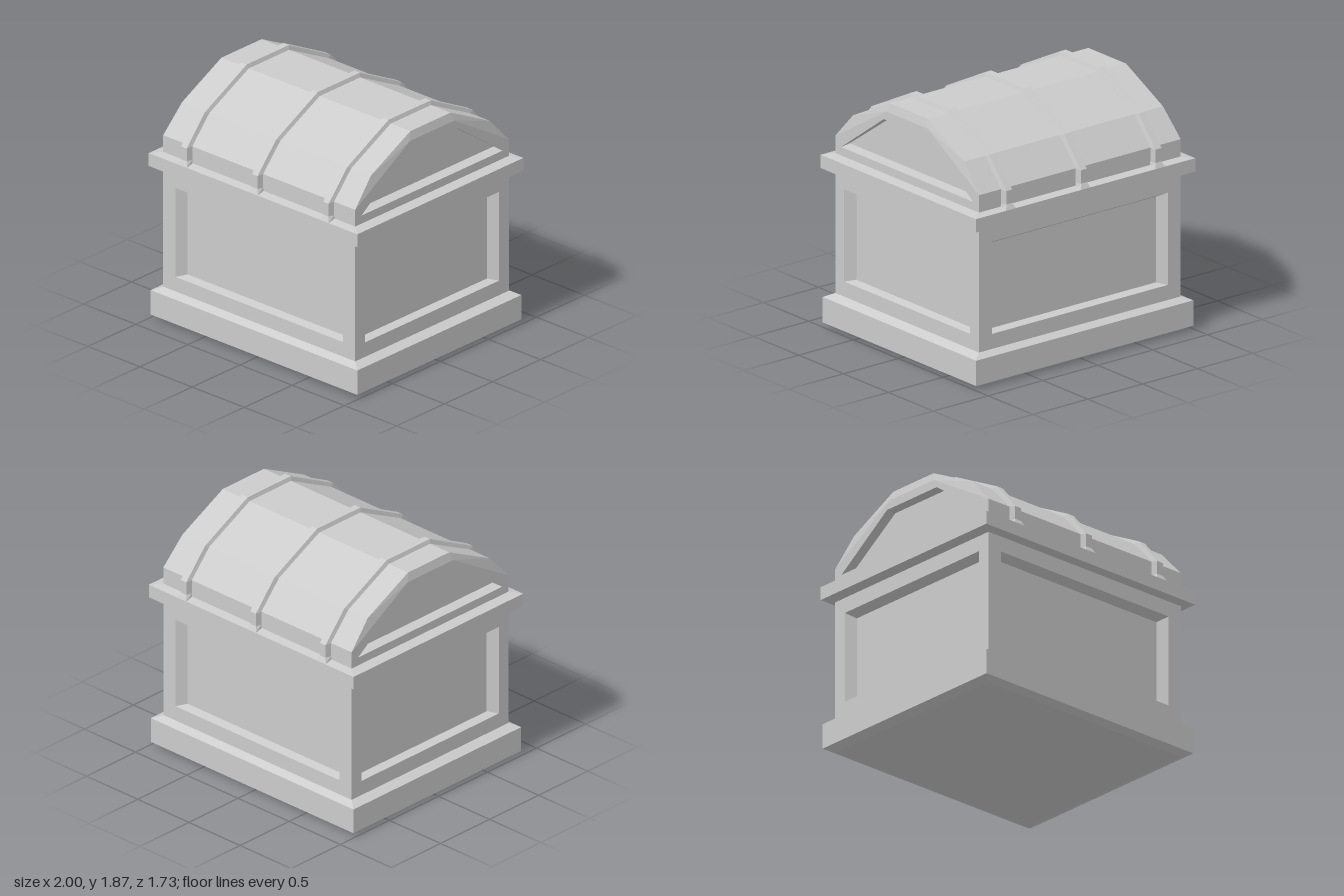
import * as THREE from 'three';

const material = new THREE.MeshStandardMaterial({ color: 0xcccccc, flatShading: true });
const V = (x, y, z) => new THREE.Vector3(x, y, z);

function mesh(name, geometry) {
  const m = new THREE.Mesh(geometry, material);
  m.name = name;
  return m;
}

// Faceted surface through rows of points (points run left to right, rows run upward).
function loft(rows, closed = false, caps = false) {
  const pts = [];
  const tri = (a, b, c) => {
    if (a.distanceTo(b) > 1e-6 && b.distanceTo(c) > 1e-6 && c.distanceTo(a) > 1e-6) pts.push(a, b, c);
  };
  for (let r = 0; r < rows.length - 1; r++) {
    const a = rows[r], b = rows[r + 1], n = a.length;
    for (let i = 0; i < (closed ? n : n - 1); i++) {
      const j = (i + 1) % n;
      tri(a[i], a[j], b[j]);
      tri(a[i], b[j], b[i]);
    }
  }
  if (caps) {
    const lo = rows[0], hi = rows[rows.length - 1];
    for (let i = 1; i < lo.length - 1; i++) {
      tri(lo[0], lo[i + 1], lo[i]);
      tri(hi[0], hi[i], hi[i + 1]);
    }
  }
  const g = new THREE.BufferGeometry().setFromPoints(pts);
  g.computeVertexNormals();
  return g;
}

// Moulding: stacked rectangles given as [half width, half depth, height].
const moulding = (name, levels) => mesh(name, loft(
  levels.map(([x, z, y]) => [V(-x, y, z), V(x, y, z), V(x, y, -z), V(-x, y, -z)]), true, true));

// Wall facing +z with a bevelled recess; outlines run counter-clockwise.
function recessedWall(name, outline, opening, floor, depth) {
  const to2 = (list) => list.map(([x, y]) => new THREE.Vector2(x, y));
  const to3 = (list, z) => list.map(([x, y]) => V(x, y, z));
  const frame = new THREE.Shape(to2(outline));
  frame.holes.push(new THREE.Path(to2(opening)));
  const panel = new THREE.ShapeGeometry(new THREE.Shape(to2(floor)));
  panel.translate(0, 0, -depth);
  const group = new THREE.Group();
  group.name = name;
  group.add(
    mesh('frame', new THREE.ShapeGeometry(frame)),
    mesh('recessBevel', loft([to3(opening, 0), to3(floor, -depth)], true)),
    mesh('panel', panel));
  return group;
}

const rect = (x, y0, y1) => [[-x, y0], [x, y0], [x, y1], [-x, y1]];

// Turns a wall about the vertical axis and pushes it outward.
function place(wall, angle, distance) {
  wall.rotation.y = angle;
  wall.position.set(Math.sin(angle) * distance, 0, Math.cos(angle) * distance);
  return wall;
}

// Front half of a [z, y, ...] path followed by its mirror image at the back.
const frontToBack = (half) => [...half, ...half.slice().reverse().map(([z, ...rest]) => [-z, ...rest])];

// End of the lid: recessed gable with a shallow chamfer up to the lid edge.
function lidEnd(name) {
  const end = recessedWall(name,
    [[-0.8, 1.3], [0.8, 1.3], [0.8, 1.43], [0.23, 1.77], [-0.23, 1.77], [-0.8, 1.43]],
    [[-0.735, 1.363], [0.735, 1.363], [0.26, 1.705], [-0.26, 1.705]],
    [[-0.735, 1.373], [0.735, 1.373], [0.26, 1.705], [-0.26, 1.705]], 0.08);
  const c = -0.015;
  const lower = [V(-0.8, 1.43, 0), V(-0.23, 1.77, 0), V(-0.23, 1.77, 0),
    V(0.23, 1.77, 0), V(0.23, 1.77, 0), V(0.8, 1.43, 0)];
  const upper = [V(-0.8, 1.43, 0), V(-0.62, 1.63, c), V(-0.21, 1.835, c),
    V(0.21, 1.835, c), V(0.62, 1.63, c), V(0.8, 1.43, 0)];
  end.add(mesh('lidChamfer', loft([lower, upper])));
  return end;
}

export function createModel() {
  const model = new THREE.Group();
  model.name = 'chest';

  // Plinth and rim
  model.add(moulding('base', [[0.92, 0.8, 0], [0.99, 0.855, 0.03], [0.99, 0.855, 0.22], [0.92, 0.8, 0.25]]));
  model.add(moulding('rim', [[0.92, 0.8, 1.172], [1, 0.865, 1.187], [1, 0.865, 1.287], [0.92, 0.8, 1.3]]));

  // Four panelled walls
  const wall = (name, half) => recessedWall(name, rect(half, 0.25, 1.172),
    rect(half - (half > 0.9 ? 0.117 : 0.1), 0.363, 1.055),
    rect(half - (half > 0.9 ? 0.17 : 0.15), 0.375, 1.018), 0.07);
  model.add(
    place(wall('frontWall', 0.92), 0, 0.8),
    place(wall('backWall', 0.92), Math.PI, 0.8),
    place(wall('leftWall', 0.8), Math.PI / 2, 0.92),
    place(wall('rightWall', 0.8), -Math.PI / 2, 0.92));

  // Arched lid: [z, y, half width]
  const lid = frontToBack([[0.8, 1.3, 0.92], [0.8, 1.43, 0.92], [0.62, 1.63, 0.905], [0.21, 1.835, 0.905]]);
  model.add(mesh('lid', loft(lid.map(([z, y, x]) => [V(-x, y, z), V(x, y, z)]))));
  model.add(place(lidEnd('leftLidEnd'), Math.PI / 2, 0.92));
  model.add(place(lidEnd('rightLidEnd'), -Math.PI / 2, 0.92));

  // Bands over the lid: [outer z, outer y, inner z, inner y, outer half width, inner half width]
  const band = frontToBack([
    [0.865, 1.287, 0.8, 1.287, 0.045, 0.045],
    [0.845, 1.325, 0.8, 1.325, 0.027, 0.038],
    [0.845, 1.425, 0.8, 1.43, 0.027, 0.038],
    [0.655, 1.643, 0.62, 1.63, 0.027, 0.038],
    [0.22, 1.865, 0.21, 1.835, 0.027, 0.038],
  ]);
  const bandGeometry = loft(band.map(([zo, yo, zi, yi, wo, wi]) => {
    const z = Math.sign(zo) * Math.abs(zi);
    return [V(-wi, yi, z), V(-wo, yo, zo), V(wo, yo, zo), V(wi, yi, z)];
  }));
  for (const [name, x] of [['rightBand', -0.68], ['middleBand', 0], ['leftBand', 0.68]]) {
    const m = mesh(name, bandGeometry);
    m.position.x = x;
    model.add(m);
  }
  return model;
}
